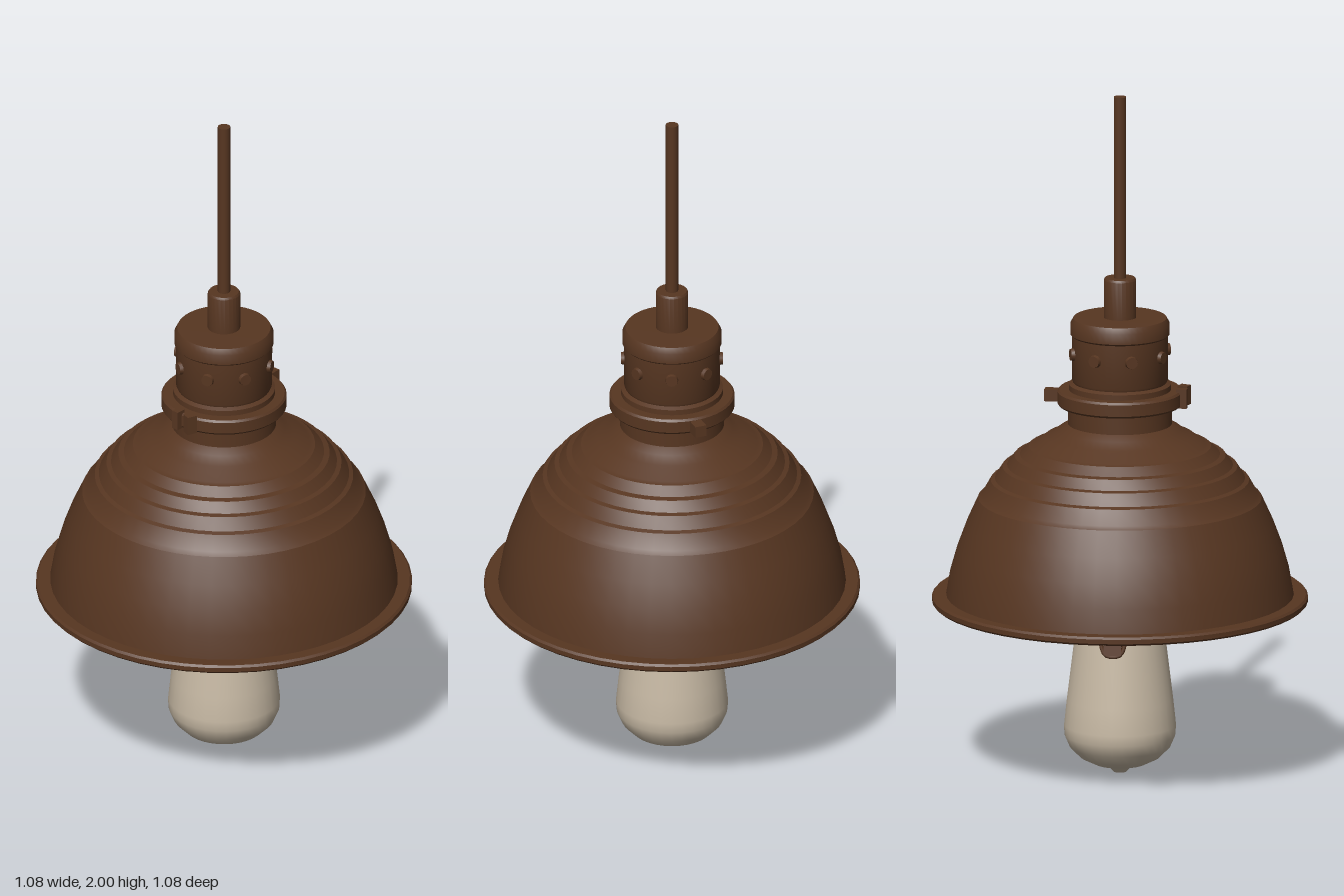
import * as THREE from 'three';
import { toCreasedNormals } from 'three/addons/utils/BufferGeometryUtils.js';

const material = (name, color) => {
  const m = new THREE.MeshStandardMaterial({ color });
  m.name = name;
  return m;
};

export function createModel() {
  const bronze = material('dark bronze', 0x573621);
  const lining = material('tan lining', 0x9a6e40);
  const amber = material('amber lining', 0xb87a38);
  const glass = material('frosted glass', 0xc8baa5);
  const lamp = new THREE.Group();
  lamp.name = 'pendantLamp';

  const add = (name, geometry, mat, x = 0, y = 0, z = 0, parent = lamp) => {
    const mesh = new THREE.Mesh(geometry, mat);
    mesh.name = name;
    mesh.position.set(x, y, z);
    parent.add(mesh);
    return mesh;
  };
  // Profiles run bottom to top for outer skins, top to bottom for inner ones.
  const lathe = (points, crease = 0.6, sides = 48) => toCreasedNormals(
    new THREE.LatheGeometry(points.map(([r, y]) => new THREE.Vector2(r, y)), sides), crease);

  // Shade: flared rim, curved wall and stepped crown
  const wall = [[0.5, 0.53], [0.488, 0.6], [0.468, 0.67], [0.442, 0.74], [0.408, 0.815]];
  const steps = [[0.396, 0.825], [0.372, 0.868], [0.36, 0.873], [0.338, 0.908], [0.325, 0.912],
    [0.304, 0.94], [0.288, 0.944], [0.262, 0.968], [0.246, 0.972], [0.215, 0.996],
    [0.2, 1.0], [0.175, 1.02], [0.15, 1.035]];
  add('shadeOuter', lathe([[0.488, 0.505], [0.535, 0.505], [0.541, 0.511], [0.541, 0.524],
    [0.535, 0.53], ...wall, ...steps], 0.45), bronze);
  const inset = ([r, y]) => [r - 0.012, y - 0.01];
  add('shadeInnerWall', lathe([...wall.map(inset).reverse(), [0.488, 0.505]]), lining);
  add('shadeInnerCrown', lathe([[0, 1.025], ...[...wall.slice(-1), ...steps].map(inset).reverse()], 0.45), amber);

  // Neck, clamp collar, socket housing, cable grip and cord
  add('neck', lathe([[0.15, 1.03], [0.15, 1.095]]), bronze);
  add('collar', lathe([[0.145, 1.09], [0.175, 1.09], [0.18, 1.096], [0.18, 1.13],
    [0.175, 1.136], [0.13, 1.136]]), bronze);
  add('socketHousing', lathe([[0.147, 1.134], [0.147, 1.152], [0.135, 1.158], [0.138, 1.165],
    [0.138, 1.295], [0.143, 1.3], [0.143, 1.33], [0.134, 1.347], [0, 1.349]]), bronze);
  add('cableGrip', lathe([[0.047, 1.345], [0.047, 1.459], [0.043, 1.465], [0, 1.465]], 0.6, 24), bronze);
  add('cord', new THREE.CylinderGeometry(0.018, 0.018, 0.54, 16), bronze, 0, 1.73, 0);

  // Ring of rivets round the housing
  for (let i = 0; i < 8; i++) {
    const a = (i + 0.5) * Math.PI / 4;
    const rivet = add('rivet', new THREE.CylinderGeometry(0.017, 0.02, 0.014, 12), bronze,
      Math.sin(a) * 0.14, 1.245, Math.cos(a) * 0.14);
    rivet.rotation.set(Math.PI / 2, 0, -a, 'YXZ');
    rivet.rotation.y = a;
    rivet.rotation.z = 0;
  }

  // Clamp lugs on opposite sides of the collar
  add('clampLug', new THREE.BoxGeometry(0.05, 0.034, 0.034), bronze, 0.194, 1.112, 0);
  add('clampPlate', new THREE.BoxGeometry(0.03, 0.056, 0.026), bronze, -0.182, 1.117, 0.034).rotation.y = -0.35;
  add('clampPlate', new THREE.BoxGeometry(0.03, 0.056, 0.022), bronze, -0.182, 1.117, -0.012);

  // Bulb and the stem that holds it
  add('bulb', lathe([[0, 0], [0.018, 0.004], [0.032, 0.018], [0.075, 0.03], [0.115, 0.05],
    [0.145, 0.08], [0.16, 0.115], [0.161, 0.145], [0.153, 0.22], [0.136, 0.36],
    [0.118, 0.5], [0.102, 0.585], [0.094, 0.603], [0, 0.605]], 0.9, 32), glass);
  add('bulbStem', new THREE.CylinderGeometry(0.047, 0.047, 0.44, 24), bronze, 0, 0.815, 0);

  // Front clip: a rounded strip lying on the glass
  const tongue = new THREE.Shape();
  tongue.moveTo(-0.036, 0.2).lineTo(-0.036, 0.036);
  tongue.absarc(0, 0.036, 0.036, Math.PI, Math.PI * 2, false);
  tongue.lineTo(0.036, 0.2);
  const clipGeometry = new THREE.ExtrudeGeometry(tongue, { depth: 0.012, bevelEnabled: false, curveSegments: 10 });
  add('frontClip', clipGeometry, bronze, 0, 0.37, 0.135).rotation.x = -0.13;
  add('clipHook', new THREE.BoxGeometry(0.03, 0.045, 0.008), bronze, 0, 0.5, 0.148).rotation.x = -0.7;

  // Back clip: a wire loop with a solid tip
  const backClip = new THREE.Group();
  backClip.name = 'backClip';
  backClip.position.set(0, 0.37, -0.142);
  backClip.rotation.x = 0.13;
  const loop = new THREE.CatmullRomCurve3([[-0.034, 0.2], [-0.036, 0.05], [-0.02, 0.01], [0.02, 0.01],
    [0.036, 0.05], [0.034, 0.2], [0, 0.225]].map(([x, y]) => new THREE.Vector3(x, y, 0)), true);
  add('clipWire', new THREE.TubeGeometry(loop, 40, 0.006, 8, true), bronze, 0, 0, 0, backClip);
  add('clipTip', new THREE.BoxGeometry(0.05, 0.04, 0.016), bronze, 0, 0.03, 0, backClip);
  lamp.add(backClip);

  return lamp;
}
